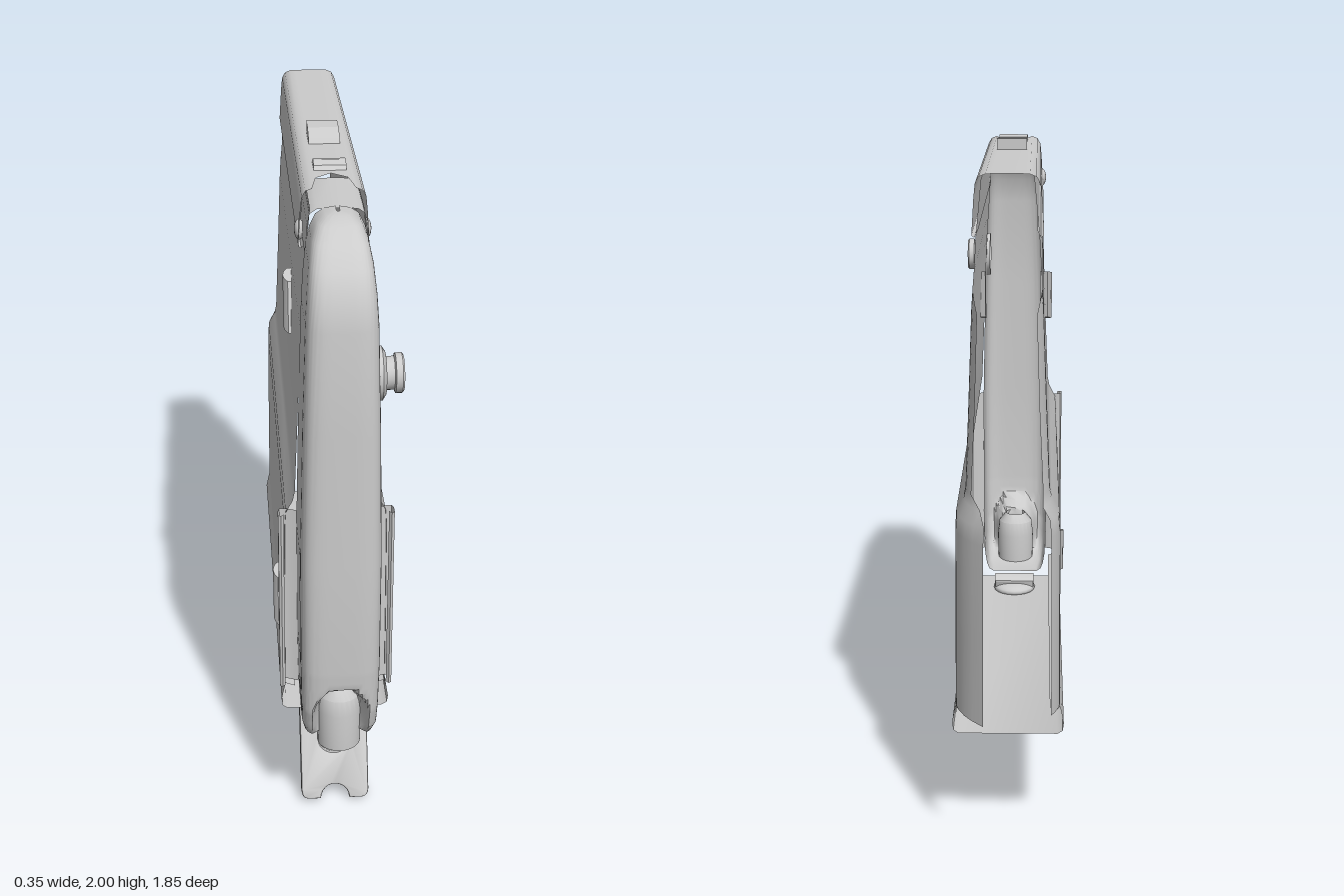
import * as THREE from 'three';
import { toCreasedNormals } from 'three/addons/utils/BufferGeometryUtils.js';

const mat = new THREE.MeshStandardMaterial({ color: 0xcccccc, side: THREE.DoubleSide });

function add(group, name, geometry, x = 0, y = 0, z = 0) {
  const m = new THREE.Mesh(geometry, mat);
  m.name = name;
  m.position.set(x, y, z);
  group.add(m);
  return m;
}

// Skin a grid of points: each row is a list of [x, y, z]
function sheet(rows, crease = 0.6) {
  const n = rows[0].length, index = [];
  for (let i = 0; i < rows.length - 1; i++) {
    for (let j = 0; j < n - 1; j++) {
      const a = i * n + j, b = a + n;
      index.push(a, b, a + 1, b, b + 1, a + 1);
    }
  }
  const g = new THREE.BufferGeometry();
  g.setAttribute('position', new THREE.Float32BufferAttribute(rows.flat(2), 3));
  g.setIndex(index);
  return toCreasedNormals(g, crease);
}

// Linear lookup in a list of [key, value, ...] with descending keys
function lookup(table, key, col) {
  for (let i = 0; i < table.length - 1; i++) {
    const a = table[i], b = table[i + 1];
    if (key <= a[0] && key >= b[0]) {
      return THREE.MathUtils.lerp(a[col], b[col], (a[0] - key) / (a[0] - b[0]));
    }
  }
  return table[table.length - 1][col];
}

// Mirrored cross-section: the +x half, given from the outside in, plus its reflection
const mirrored = (half) => [...half, ...half.map(([x, y]) => [-x, y]).reverse()];

// Side wall: [y, x, back z]; the back edge curls inward
function sideWall(side) {
  const low = side > 0 ? -0.92 : -0.84;
  const profile = [
    [1.95, 0.072, -0.73], [1.8, 0.086, -0.73], [1.7, 0.092, -0.73], [1.66, 0.095, -0.755],
    [1.63, 0.097, -0.8], [1.6, 0.099, -0.825], [1.35, 0.108, -0.828], [1.1, 0.118, -0.825],
    [1.07, 0.124, (low - 0.84) / 2], [1.03, 0.145, low], [0.98, 0.148, low], [0.7, 0.15, low],
    [0.45, 0.151, low], [0.45, 0.151, -0.8], [0.43, 0.152, -0.73], [0.4, 0.152, -0.73],
  ];
  const rows = profile.map(([y, x, back]) => {
    const row = [[side * x, y, 0.655], [side * x, y, 0], [side * x, y, -0.7]];
    for (let i = 1; i <= 6; i++) {
      const z = THREE.MathUtils.lerp(-0.7, back, i / 6);
      const past = Math.max(0, -z - 0.74);
      row.push([side * (x - past * past * 2.6), y, z]);
    }
    return row;
  });
  return sheet(rows, 0.9);
}

// Front cap: horizontal rounded-U sections, [y, front z, half width]
function frontCap() {
  const table = [
    [1.955, 0.7, 0.005], [1.95, 0.73, 0.035], [1.935, 0.77, 0.058], [1.9, 0.82, 0.075],
    [1.85, 0.875, 0.085], [1.78, 0.91, 0.092], [1.7, 0.923, 0.097], [1.4, 0.925, 0.106],
    [1, 0.925, 0.114], [0.65, 0.923, 0.114], [0.5, 0.91, 0.112], [0.43, 0.89, 0.11],
    [0.39, 0.86, 0.103], [0.37, 0.8, 0.095], [0.36, 0.7, 0.08], [0.36, 0.66, 0.005],
  ];
  const levels = table.map((r) => r[0]);
  for (let y = 0.41; y < 0.64; y += 0.02) levels.push(y + 0.001);
  levels.sort((a, b) => b - a);
  const rows = levels.map((y, k) => {
    const last = k === levels.length - 1;
    const zf = last ? 0.66 : lookup(table, y, 1), hw = last ? 0.005 : lookup(table, y, 2);
    const row = [[-hw, y, 0.655]];
    for (let i = 0; i <= 32; i++) {
      const a = Math.PI * (1 - i / 32), c = Math.cos(a), s = Math.sin(a);
      const x = hw * Math.sign(c) * Math.abs(c) ** 0.5;
      let z = zf - Math.min(0.1, zf - 0.655) * (1 - s ** 0.5);
      // Arched recess low on the nose
      const d = Math.hypot(x / 0.075, Math.max(0, y - 0.48) / 0.1);
      z -= Math.max(0, Math.min(1, (1.1 - d) / 0.3)) * Math.max(0, z - 0.83);
      row.push([x, y, z]);
    }
    row.push([hw, y, 0.655]);
    return row;
  });
  return sheet(rows, 0.8);
}

export function createModel() {
  const model = new THREE.Group();

  add(model, 'frontCap', frontCap());

  // Socket under the nose
  const socket = [[0.035, 0.36], [0.035, 0], [0.064, 0], [0.066, 0.12], [0.06, 0.17], [0.035, 0.2]];
  add(model, 'noseSocket', toCreasedNormals(new THREE.LatheGeometry(
    socket.map(([r, y]) => new THREE.Vector2(r, Math.min(y, 0.2))), 24), 0.6), 0, 0.342, 0.808);

  // Push knob on the left of the cap
  const knobProfile = [[0.075, 0.09], [0.075, 0.112], [0.06, 0.122], [0.046, 0.122], [0.046, 0.145],
    [0.055, 0.148], [0.055, 0.166], [0.05, 0.171], [0, 0.171]];
  const knob = new THREE.LatheGeometry(knobProfile.map((p) => new THREE.Vector2(...p)), 20);
  add(model, 'sideKnob', toCreasedNormals(knob.rotateZ(-Math.PI / 2), 0.6), 0, 1.525, 0.785);

  for (const side of [1, -1]) {
    const label = side > 0 ? 'left' : 'right';
    add(model, label + 'Wall', sideWall(side));

    // Folded strip along the front edge of the wide lower wall
    const fold = [[0.112, 0.66], [0.146, 0.645], [0.163, 0.645], [0.168, 0.66], [0.168, 0.685],
      [0.16, 0.69], [0.152, 0.68]];
    add(model, label + 'FrontStrip', sheet([1.04, 0.75, 0.45].map(
      (y) => fold.map(([x, z]) => [side * x, y, z])), 0.8));

    // Slanted pressed tabs
    for (const [y, z, x] of [[1.485, 0.155, 0.103], [0.555, 0.33, 0.15]]) {
      const tab = new THREE.BoxGeometry(0.03, 0.155, 0.07, 1, 1, 4);
      const p = tab.attributes.position;
      for (let i = 0; i < p.count; i++) {
        const u = p.getZ(i) / 0.035;
        if (p.getX(i) * side > 0) p.setX(i, side * (0.024 - 0.014 * u * u));
        p.setZ(i, p.getZ(i) - p.getY(i) * 0.22);
        p.setY(i, p.getY(i) - u * 0.008);
      }
      tab.computeVertexNormals();
      add(model, label + 'Tab', tab, side * x, y, z);
    }

    // Rail rivet
    add(model, label + 'Rivet', new THREE.SphereGeometry(0.029, 16, 10).scale(0.5, 1, 1),
      side * 0.093, 1.832, 0.487);
  }

  // Bottom tray with rolled edges
  const tray = mirrored([[0.122, 0.425], [0.15, 0.435], [0.156, 0.41], [0.163, 0.375], [0.16, 0.353], [0.145, 0.343]]);
  add(model, 'bottomTray', sheet([0.65, -0.73].map((z) => tray.map(([x, y]) => [x, y, z])), 0.8));

  // Top channel with a pointed notch in its front end
  const rail = mirrored([[0.08, 1.815], [0.09, 1.795], [0.098, 1.8], [0.092, 1.9], [0.088, 1.94], [0.078, 1.958],
    [0.06, 1.965], [0.045, 1.966], [0.001, 1.966]]);
  const railFront = (x) => {
    const a = Math.abs(x);
    return a < 0.05 ? 0.41 + a * 0.9 : 0.54;
  };
  add(model, 'topRail', sheet([0, 1].map((t) => rail.map(
    ([x, y]) => [x, y, t ? -0.73 : railFront(x)])), 0.8));

  // Cover joining the rail to the cap
  const cover = mirrored([[0.086, 1.82], [0.08, 1.9], [0.074, 1.935], [0.055, 1.948], [0, 1.95]]);
  add(model, 'frontCover', sheet([0.66, 0.4].map((z) => cover.map(([x, y]) => [x, y, z])), 0.8));

  // Raised catches on the rail: side outline as [z, y]
  const catches = { rearCatch: [[0.135, 1.96], [0.12, 1.98], [0.07, 1.998], [0.005, 2], [0.005, 1.96]],
    frontCatch: [[0.39, 1.96], [0.375, 1.978], [0.345, 1.986], [0.315, 1.98], [0.31, 1.96]] };
  for (const [name, outline] of Object.entries(catches)) {
    const shape = new THREE.Shape(outline.map(([z, y]) => new THREE.Vector2(-z, y)));
    const g = new THREE.ExtrudeGeometry(shape, { depth: 0.092, bevelEnabled: false });
    add(model, name, g.translate(0, 0, -0.046).rotateY(Math.PI / 2));
  }

  // Slanted foot plate with an oval hole and a notched end
  const foot = new THREE.Shape();
  foot.moveTo(-0.105, 0.03);
  foot.quadraticCurveTo(-0.105, 0, -0.08, 0);
  foot.lineTo(-0.045, 0);
  foot.bezierCurveTo(-0.04, 0.06, 0.04, 0.06, 0.045, 0);
  foot.lineTo(0.08, 0);
  foot.quadraticCurveTo(0.105, 0, 0.105, 0.03);
  foot.lineTo(0.105, 0.335);
  foot.lineTo(0.07, 0.345);
  foot.lineTo(0.07, 0.42);
  foot.lineTo(-0.07, 0.42);
  foot.lineTo(-0.07, 0.345);
  foot.lineTo(-0.105, 0.335);
  foot.closePath();
  foot.holes.push(new THREE.Path().absellipse(0, 0.187, 0.048, 0.042, 0, Math.PI * 2, true));
  const footGeo = new THREE.ExtrudeGeometry(foot, {
    depth: 0.03, bevelThickness: 0.008, bevelSize: 0.006, bevelOffset: -0.006, bevelSegments: 2, curveSegments: 12,
  });
  footGeo.translate(0, 0, -0.015).rotateX(-0.42);
  add(model, 'footPlate', toCreasedNormals(footGeo, 0.6), 0, 0.01, 0.668);

  // Boss where the foot meets the tray
  add(model, 'footBoss', new THREE.SphereGeometry(0.075, 20, 12).scale(1, 0.35, 1.1), 0, 0.35, 0.52);

  return model;
}
